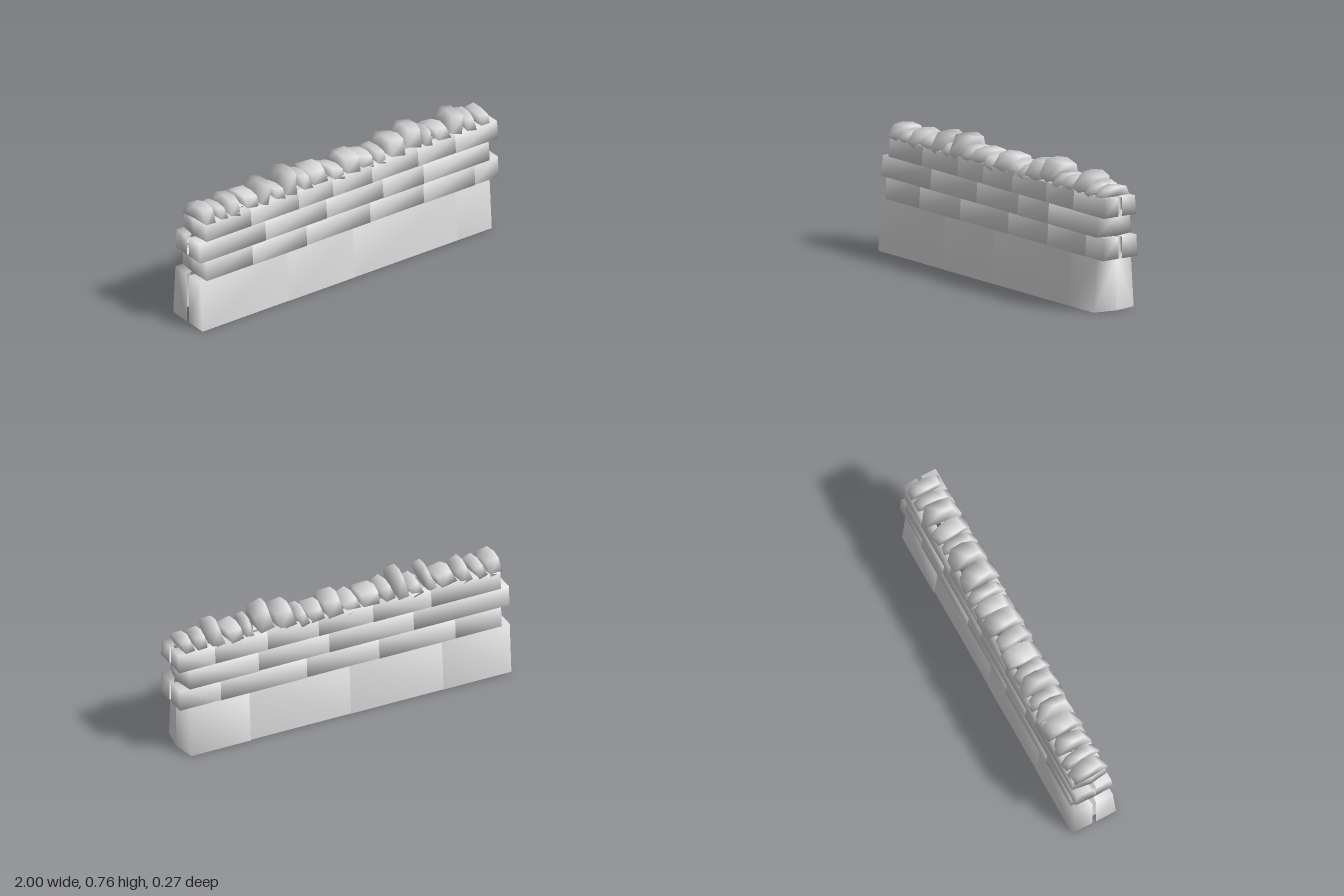
import * as THREE from 'three';

const stone = new THREE.MeshStandardMaterial({ color: 0xdcdcdc, side: THREE.DoubleSide });
stone.name = 'pale grey stone';

// Small repeatable noise in -1..1
const noise = (n) => {
  const v = Math.sin(n * 127.1 + 11.7) * 43758.5453;
  return 2 * (v - Math.floor(v)) - 1;
};

// Courses: height range, outer depth at foot and top, joints along x on each face
const courses = [
  { y: [0.004, 0.298], z: [0.133, 0.113], front: [-1, -0.42, 0.02, 0.71, 0.94], back: [-1, -0.59, -0.03, 0.58, 0.94] },
  { y: [0.298, 0.418], z: [0.119, 0.111], front: [-0.96, -0.65, -0.29, 0.14, 0.5, 0.84, 1], back: [-0.95, -0.67, -0.21, 0.23, 0.75, 1] },
  { y: [0.418, 0.532], z: [0.116, 0.106], front: [-1, -0.56, -0.15, 0.23, 0.5, 0.94], back: [-1, -0.42, 0.09, 0.52, 0.94] },
  { y: [0.532, 0.636], z: [0.108, 0.099], front: [-0.95, -0.65, -0.33, -0.1, 0.16, 0.47, 0.72, 1], back: [-0.95, -0.53, -0.18, 0.15, 0.46, 0.78, 1] },
];

// Hollow facing block: outer face, two returns, a top and (optionally) an underside.
// a and b describe the ends as { out, inn, depth }: x at the face, x and z at the inner edge.
function facingBlock(a, b, y, z, side, closedBelow) {
  const verts = [];
  for (const inner of [false, true]) {
    for (const [end, level] of [[a, 0], [b, 0], [b, 1], [a, 1]]) {
      verts.push(inner ? end.inn : end.out, y[level], side * (inner ? end.depth : z[level]));
    }
  }
  const quads = [[0, 1, 2, 3], [1, 5, 6, 2], [4, 0, 3, 7], [3, 2, 6, 7]];
  if (closedBelow) quads.push([4, 5, 1, 0]);
  const index = [];
  for (const [p, q, r, t] of quads) {
    if (side > 0) index.push(p, q, r, p, r, t);
    else index.push(p, r, q, p, t, r);
  }
  const geo = new THREE.BufferGeometry();
  geo.setAttribute('position', new THREE.Float32BufferAttribute(verts, 3));
  geo.setIndex(index);
  geo.computeVertexNormals();
  return new THREE.Mesh(geo, stone);
}

// One end of a block: projecting wall ends leave a central gap, recessed ones meet in the middle
function blockEnd(x) {
  if (Math.abs(x) > 0.99) return { out: x, inn: x, depth: 0.011 };
  if (x > 0.9) return { out: x, inn: 0.967, depth: 0 };
  if (x < -0.9) return { out: x, inn: -0.965, depth: 0 };
  return { out: x, inn: x, depth: 0.06 };
}

// Rough capstone: narrow at the top, waisted at its two ends
function capstone(width, height, seed) {
  const geo = new THREE.BoxGeometry(width, height, 0.2, 1, 1, 2);
  geo.deleteAttribute('uv');
  const p = geo.attributes.position;
  for (let i = 0; i < p.count; i++) {
    const top = p.getY(i) > 0;
    const end = Math.sign(Math.round(p.getZ(i) * 100));
    const right = Math.sign(p.getX(i));
    const n = noise(seed * 9 + end * 2 + right + (top ? 40 : 0));
    p.setX(i, p.getX(i) * (end ? 0.88 + 0.08 * n : 1.05));
    p.setY(i, p.getY(i) + (end ? -0.004 : 0.003) + 0.003 * n);
    p.setZ(i, end * ((top ? 0.066 : 0.104) + 0.006 * n));
  }
  // Weld the corners so the stone shades as one rounded lump
  const welded = new Map();
  const verts = [];
  const index = [];
  for (let i = 0; i < geo.index.count; i++) {
    const k = geo.index.getX(i);
    const v = [p.getX(k), p.getY(k), p.getZ(k)];
    const key = v.map((c) => c.toFixed(5)).join();
    if (!welded.has(key)) {
      welded.set(key, verts.length / 3);
      verts.push(...v);
    }
    index.push(welded.get(key));
  }
  const out = new THREE.BufferGeometry();
  out.setAttribute('position', new THREE.Float32BufferAttribute(verts, 3));
  out.setIndex(index);
  out.computeVertexNormals();
  return new THREE.Mesh(out, stone);
}

// Capstones: centre x, width, lowest y, highest y, tilt
const caps = [
  [-0.92, 0.085, 0.63, 0.71, -0.1], [-0.835, 0.06, 0.632, 0.69, -0.2], [-0.74, 0.075, 0.622, 0.71, -0.3],
  [-0.63, 0.1, 0.637, 0.703, -0.2], [-0.53, 0.06, 0.628, 0.74, -0.35], [-0.447, 0.07, 0.628, 0.685, -0.3],
  [-0.362, 0.07, 0.63, 0.75, -0.2], [-0.275, 0.07, 0.637, 0.705, -0.15], [-0.173, 0.11, 0.645, 0.7, 0],
  [-0.06, 0.09, 0.622, 0.685, -0.3], [0.045, 0.1, 0.63, 0.718, -0.15], [0.15, 0.09, 0.63, 0.69, -0.2],
  [0.237, 0.06, 0.622, 0.69, -0.25], [0.34, 0.105, 0.632, 0.735, -0.2], [0.462, 0.1, 0.645, 0.76, -0.28],
  [0.557, 0.055, 0.63, 0.705, -0.15], [0.645, 0.09, 0.637, 0.695, -0.1], [0.757, 0.08, 0.632, 0.742, -0.28],
  [0.845, 0.065, 0.637, 0.697, -0.15], [0.93, 0.065, 0.637, 0.69, -0.1],
];

export function createModel() {
  const wall = new THREE.Group();
  wall.name = 'stoneWall';

  // Facing blocks on both sides of the hollow wall
  courses.forEach((course, row) => {
    const group = new THREE.Group();
    group.name = `course${row + 1}`;
    for (const [name, side] of [['front', 1], ['back', -1]]) {
      const joints = course[name];
      for (let i = 0; i < joints.length - 1; i++) {
        const shift = 0.004 * noise(row * 20 + i * 3 + side);
        const z = course.z.map((d) => d + shift);
        const block = facingBlock(blockEnd(joints[i]), blockEnd(joints[i + 1]), course.y, z, side, row > 0);
        block.name = `${name}Block`;
        group.add(block);
      }
    }
    // Infill seen through the gap at the projecting end
    const end = row % 2 ? 0.96 : -0.96;
    const infill = new THREE.Mesh(new THREE.BoxGeometry(0.006, course.y[1] - course.y[0], 0.06), stone);
    infill.position.set(end, (course.y[0] + course.y[1]) / 2, 0);
    infill.name = 'endInfill';
    group.add(infill);
    wall.add(group);
  });

  // Row of leaning capstones
  const coping = new THREE.Group();
  coping.name = 'coping';
  caps.forEach(([x, width, low, high, tilt], i) => {
    const s = Math.abs(Math.sin(tilt));
    const height = Math.max(0.045, (high - low - width * s) / Math.cos(tilt));
    const cap = capstone(width, height, i);
    cap.position.set(x, (low + high) / 2, 0.006 * noise(i + 70));
    cap.rotation.set(0.06 * noise(i + 30), 0.12 * noise(i + 50), tilt);
    cap.name = 'capstone';
    coping.add(cap);
  });
  wall.add(coping);
  return wall;
}
